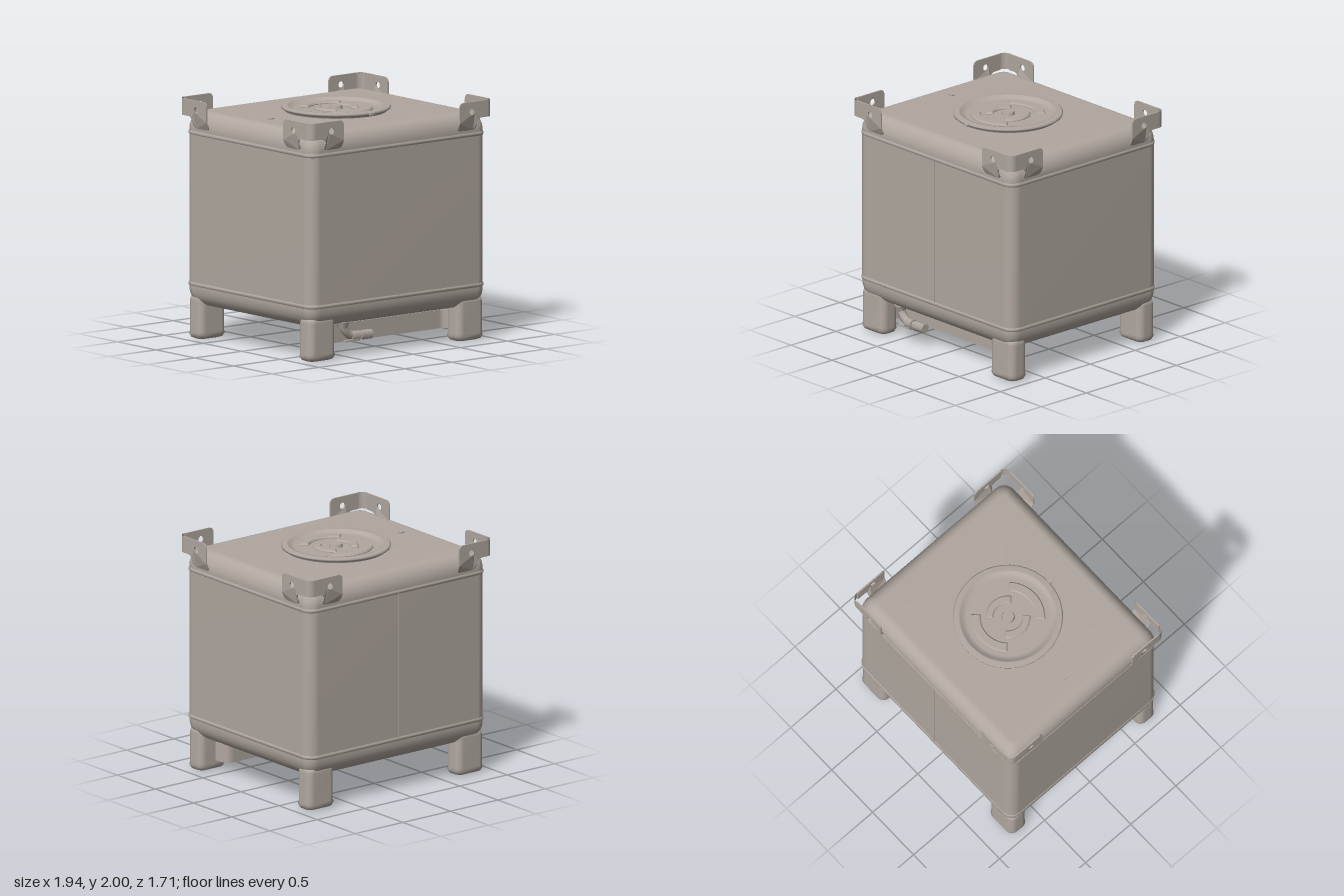
import * as THREE from 'three';

const steel = new THREE.MeshStandardMaterial({ color: 0xb0a79f, side: THREE.DoubleSide });
steel.name = 'brushed steel';

function add(parent, name, geometry, x = 0, y = 0, z = 0) {
  const mesh = new THREE.Mesh(geometry, steel);
  mesh.name = name;
  mesh.position.set(x, y, z);
  parent.add(mesh);
  return mesh;
}

// Stack of rounded rectangles; each ring is [inset, y]
function loft(hx, hz, radius, rings, capped = true) {
  const pos = [], idx = [], seg = 6, n = 4 * (seg + 1);
  for (const [inset, y] of rings) {
    const r = Math.max(radius - inset * 0.5, 0.02);
    for (let c = 0; c < 4; c++) {
      const cx = (c === 0 || c === 3 ? 1 : -1) * (hx - inset - r);
      const cz = (c < 2 ? 1 : -1) * (hz - inset - r);
      for (let i = 0; i <= seg; i++) {
        const a = (c + i / seg) * Math.PI / 2;
        pos.push(cx + r * Math.cos(a), y, cz + r * Math.sin(a));
      }
    }
  }
  for (let k = 0; k < rings.length - 1; k++) {
    for (let i = 0; i < n; i++) {
      const a = k * n + i, a1 = k * n + (i + 1) % n;
      idx.push(a, a + n, a1, a1, a + n, a1 + n);
    }
  }
  if (capped) {
    const top = (rings.length - 1) * n, c = rings.length * n;
    pos.push(0, rings[0][1], 0, 0, rings[rings.length - 1][1], 0);
    for (let i = 0; i < n; i++) {
      const j = (i + 1) % n;
      idx.push(c, i, j, c + 1, top + j, top + i);
    }
  }
  const g = new THREE.BufferGeometry();
  g.setAttribute('position', new THREE.Float32BufferAttribute(pos, 3));
  g.setIndex(idx);
  g.computeVertexNormals();
  return g;
}

// Plan outline (x, z) extruded upward from y = 0
function slab(shape, height, bevel = 0) {
  return new THREE.ExtrudeGeometry(shape, {
    depth: height - bevel, bevelEnabled: bevel > 0, bevelSize: bevel, bevelThickness: bevel,
    bevelSegments: 1, curveSegments: 8,
  }).rotateX(Math.PI / 2).translate(0, height - bevel, 0);
}

function arcPad(r0, r1, mid, half) {
  const s = new THREE.Shape();
  s.absarc(0, 0, r1, mid - half, mid + half, false);
  s.absarc(0, 0, r0, mid + half, mid - half, true);
  return s;
}

// One arm of a lifting bracket, with its tab leaning in to the tank wall
function bracketArm(lean) {
  const s = new THREE.Shape();
  s.moveTo(-0.06, 2);
  s.lineTo(-0.31, 2);
  s.quadraticCurveTo(-0.355, 2, -0.355, 1.95);
  s.lineTo(-0.355, 1.83);
  s.lineTo(-0.355, 1.8);
  s.quadraticCurveTo(-0.355, 1.76, -0.32, 1.76);
  s.lineTo(-0.2, 1.76);
  s.quadraticCurveTo(-0.165, 1.76, -0.165, 1.8);
  s.lineTo(-0.165, 1.83);
  s.quadraticCurveTo(-0.16, 1.86, -0.12, 1.86);
  s.lineTo(-0.06, 1.86);
  const hole = new THREE.Path();
  hole.absarc(-0.225, 1.92, 0.028, 0, Math.PI * 2, true);
  s.holes.push(hole);
  const g = new THREE.ExtrudeGeometry(s, { depth: 0.012, bevelEnabled: false, curveSegments: 5 });
  const p = g.attributes.position;
  for (let i = 0; i < p.count; i++) {
    if (p.getY(i) < 1.83) p.setZ(i, p.getZ(i) + lean * (1.83 - p.getY(i)));
  }
  g.computeVertexNormals();
  return g;
}

export function createModel() {
  const model = new THREE.Group();
  model.name = 'tankContainer';

  // Tank shell with rounded shoulders and base
  const rings = [];
  for (let i = 0; i <= 6; i++) {
    const a = i / 6 * Math.PI / 2;
    rings.push([0.11 * (1 - Math.sin(a)), 0.43 - 0.15 * Math.cos(a)]);
  }
  for (let i = 0; i <= 6; i++) {
    const a = i / 6 * Math.PI / 2;
    rings.push([0.12 * (1 - Math.cos(a)), 1.75 + 0.15 * Math.sin(a)]);
  }
  add(model, 'tankShell', loft(0.938, 0.82, 0.1, rings));

  // Weld seams
  for (const y of [0.46, 1.72]) {
    add(model, 'weldBand', loft(0.938, 0.82, 0.1,
      [[0, y - 0.016], [-0.006, y - 0.006], [-0.006, y + 0.006], [0, y + 0.016]], false));
  }
  for (const s of [-1, 1]) {
    add(model, 'verticalWeld', new THREE.BoxGeometry(0.012, 1.24, 0.008), 0, 1.09, s * 0.82);
  }

  // Legs
  for (const sx of [-1, 1]) {
    for (const sz of [-1, 1]) {
      add(model, 'leg', loft(0.145, 0.093, 0.06,
        [[0.04, 0], [0.015, 0.01], [0, 0.04], [0.006, 0.06], [0.006, 0.32], [0.012, 0.35], [0.04, 0.37]]),
      sx * 0.785, 0, sz * 0.712);
    }
  }

  // Corner lifting brackets
  const corners = [[1, 1], [1, -1], [-1, -1], [-1, 1]];
  corners.forEach(([sx, sz], i) => {
    const bracket = new THREE.Group();
    bracket.name = 'liftingBracket';
    add(bracket, 'bracketFace', bracketArm(-0.45), 0, 0, -0.012);
    add(bracket, 'bracketSide', bracketArm(0.45).rotateY(-Math.PI / 2));
    add(bracket, 'bracketCorner',
      new THREE.CylinderGeometry(0.06, 0.06, 0.14, 8, 1, true, 0, Math.PI / 2), -0.06, 1.93, -0.06);
    bracket.position.set(sx * 0.97, 0, sz * 0.853);
    bracket.rotation.y = i * Math.PI / 2;
    model.add(bracket);
  });

  // Round lid with clamp ring
  const lid = new THREE.Group();
  lid.name = 'lid';
  lid.position.y = 1.9;
  model.add(lid);
  const profile = [[0.42, 0], [0.425, 0.015], [0.45, 0.022], [0.452, 0.036], [0.44, 0.045], [0.42, 0.04],
    [0.41, 0.046], [0.39, 0.044], [0.375, 0.022], [0.34, 0.016], [0, 0.016]];
  add(lid, 'lidDisc', new THREE.LatheGeometry(profile.map(([x, y]) => new THREE.Vector2(x, y)), 40));
  for (const s of [-1, 1]) {
    add(lid, 'longRib', slab(arcPad(0.235, 0.295, s * Math.PI / 2, 0.78), 0.034, 0.012));
    add(lid, 'shortRib', slab(arcPad(0.13, 0.175, s > 0 ? 0 : Math.PI, 0.85), 0.034, 0.012));
  }
  add(lid, 'lidBoss', new THREE.CylinderGeometry(0.05, 0.06, 0.03, 8), 0, 0.028, 0);
  add(lid, 'ringClasp', new THREE.BoxGeometry(0.04, 0.02, 0.03), 0, 0.03, 0.46);
  add(model, 'topFitting', new THREE.BoxGeometry(0.05, 0.012, 0.03), -0.69, 1.904, 0);

  // Guard bar bent back behind the front legs
  const bar = new THREE.Shape();
  bar.moveTo(-0.77, 0.64);
  bar.lineTo(-0.75, 0.54);
  bar.quadraticCurveTo(-0.74, 0.49, -0.68, 0.49);
  bar.lineTo(0.68, 0.49);
  bar.quadraticCurveTo(0.74, 0.49, 0.75, 0.54);
  bar.lineTo(0.77, 0.64);
  bar.lineTo(0.755, 0.64);
  bar.lineTo(0.735, 0.545);
  bar.quadraticCurveTo(0.725, 0.505, 0.68, 0.505);
  bar.lineTo(-0.68, 0.505);
  bar.quadraticCurveTo(-0.725, 0.505, -0.735, 0.545);
  bar.lineTo(-0.755, 0.64);
  add(model, 'guardBar', slab(bar, 0.155), 0, 0.075, 0);

  // Drain valve under the front edge
  const valve = new THREE.Group();
  valve.name = 'drainValve';
  valve.position.z = 0.72;
  model.add(valve);
  const elbow = new THREE.QuadraticBezierCurve3(new THREE.Vector3(-0.52, 0.31, 0),
    new THREE.Vector3(-0.52, 0.165, 0), new THREE.Vector3(-0.38, 0.16, 0));
  add(valve, 'elbowPipe', new THREE.TubeGeometry(elbow, 8, 0.036, 8));
  add(valve, 'pipeCollar', new THREE.CylinderGeometry(0.055, 0.04, 0.05, 8), -0.52, 0.265, 0);
  const alongX = (r, len) => new THREE.CylinderGeometry(r, r, len, 6).rotateZ(Math.PI / 2);
  add(valve, 'valveBody', alongX(0.045, 0.08), -0.4, 0.16, 0);
  add(valve, 'valveNeck', alongX(0.03, 0.1), -0.34, 0.16, 0);
  add(valve, 'valveOutlet', alongX(0.042, 0.12), -0.28, 0.16, 0);
  add(valve, 'valveHandle', new THREE.BoxGeometry(0.14, 0.014, 0.03), -0.45, 0.128, 0.02);

  return model;
}
